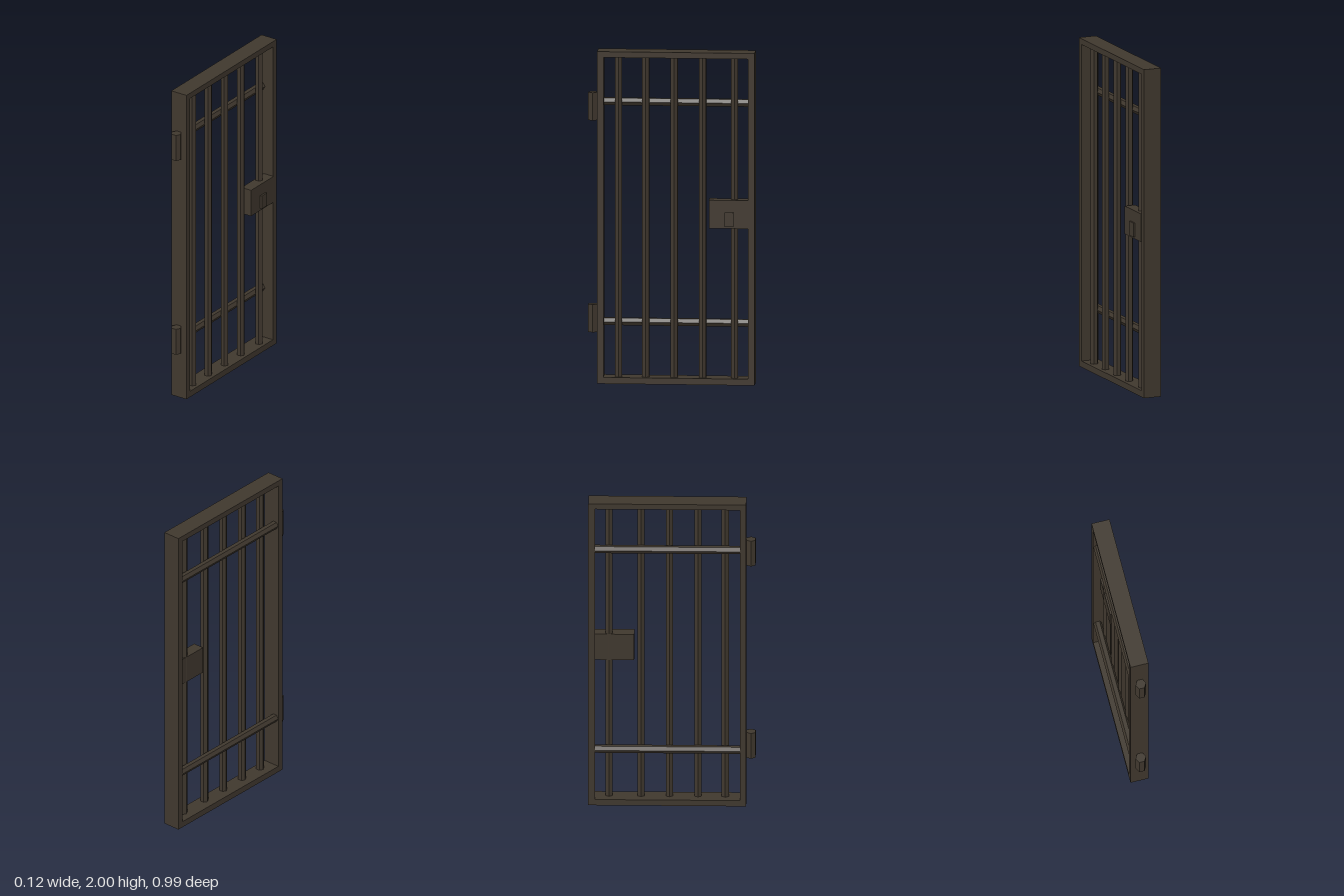
import * as THREE from 'three';

export function createModel() {
  const model = new THREE.Group();
  model.name = 'barredDoor';
  const iron = new THREE.MeshStandardMaterial({ color: 0x40382e });
  iron.name = 'dark iron';

  const add = (name, geometry, x, y, z) => {
    const mesh = new THREE.Mesh(geometry, iron);
    mesh.name = name;
    mesh.position.set(x, y, z);
    model.add(mesh);
    return mesh;
  };
  // Box given by its minimum and maximum corners
  const box = (name, a, b) => add(name,
    new THREE.BoxGeometry(b[0] - a[0], b[1] - a[1], b[2] - a[2]),
    (a[0] + b[0]) / 2, (a[1] + b[1]) / 2, (a[2] + b[2]) / 2);
  // Six-sided rod with hard edges, corners pointing along x
  const hexRod = (radius, length) => new THREE.CylinderGeometry(radius, radius, length, 6)
    .rotateY(Math.PI / 6 + Math.PI / 3 * 1).rotateY(0).toNonIndexed();
  const rod = (radius, length) => {
    const g = hexRod(radius, length);
    g.computeVertexNormals();
    return g;
  };

  // Rectangular frame, outline drawn in the z-y plane and extruded along x
  const outline = new THREE.Shape([[-0.44, 0], [0.497, 0], [0.497, 2], [-0.44, 2]]
    .map(p => new THREE.Vector2(...p)));
  outline.holes.push(new THREE.Path([[-0.403, 0.038], [-0.403, 1.965], [0.458, 1.965], [0.458, 0.038]]
    .map(p => new THREE.Vector2(...p))));
  const frame = new THREE.ExtrudeGeometry(outline, { depth: 0.11, bevelEnabled: false });
  frame.rotateY(Math.PI / 2);
  add('frame', frame, -0.064, 0, 0);

  // Upright bars
  for (const z of [0.315, 0.153, -0.017, -0.186, -0.375]) {
    add('uprightBar', rod(0.024, 1.93), 0.003, 1.0015, z);
  }

  // Cross bars behind the uprights, and hinge barrels on the front edge
  for (const y of [0.363, 1.688]) {
    const bar = rod(0.025, 0.865);
    bar.rotateX(Math.PI / 2);
    add('crossBar', bar, -0.037, y, -0.027);
  }
  for (const y of [0.388, 1.664]) {
    add('hinge', rod(0.032, 0.167), -0.008, y, 0.468);
  }

  // Lock case with its raised keyhole cover
  box('lockCase', [-0.02, 0.944, -0.458], [0.05, 1.114, -0.225]);
  box('keyholeCover', [0.045, 0.957, -0.373], [0.061, 1.042, -0.32]);

  return model;
}
